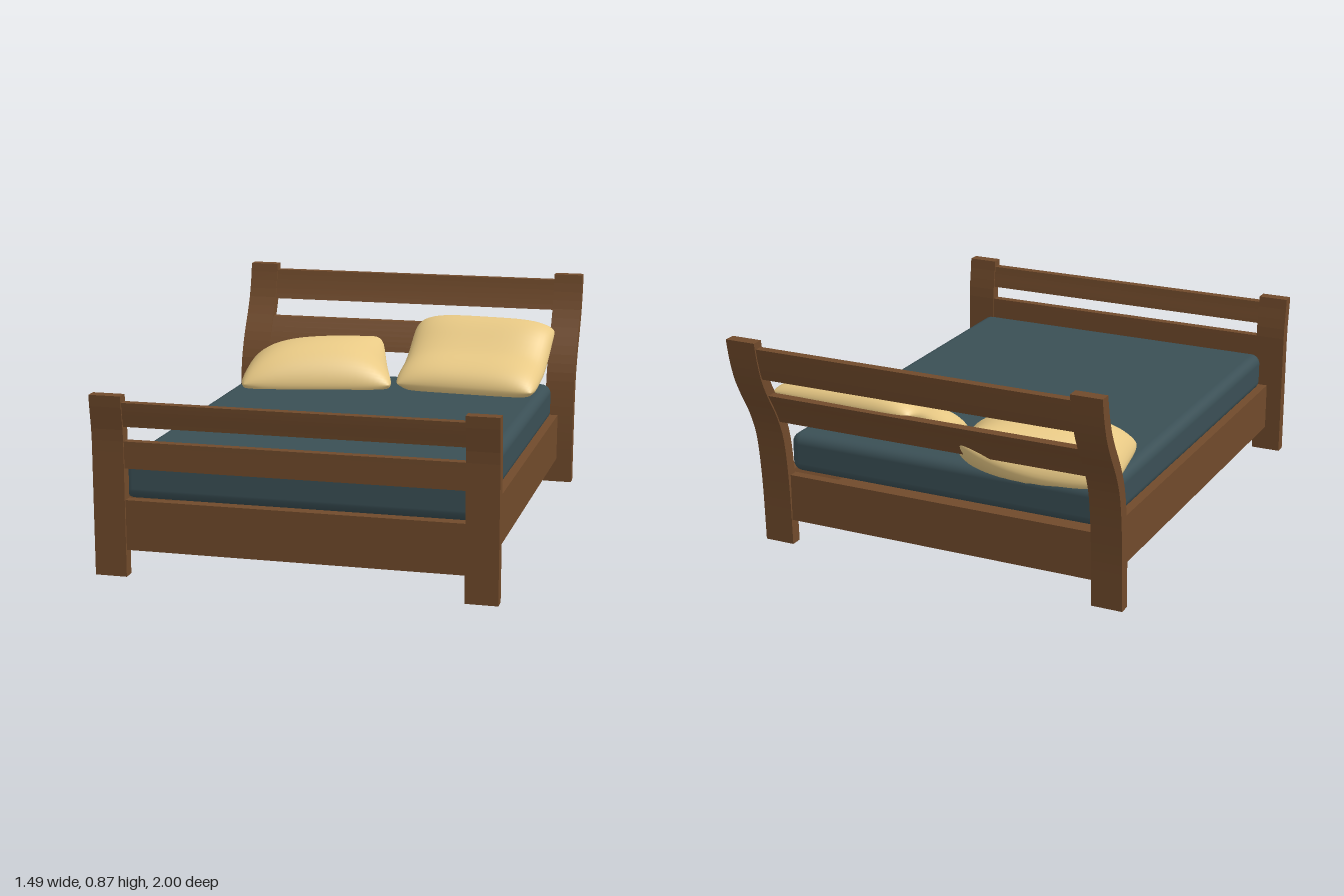
import * as THREE from 'three';
import { mergeGeometries, mergeVertices } from 'three/addons/utils/BufferGeometryUtils.js';
import { RoundedBoxGeometry } from 'three/addons/geometries/RoundedBoxGeometry.js';

const wood = new THREE.MeshStandardMaterial({ color: 0x704a2b });
const fabric = new THREE.MeshStandardMaterial({ color: 0x3a4f55 });
const linen = new THREE.MeshStandardMaterial({ color: 0xe8c985 });

// Centre lines of the posts, as (y, z) pairs going up
const headLine = [[0, -0.777], [0.2, -0.784], [0.35, -0.796], [0.45, -0.812], [0.52, -0.836],
  [0.58, -0.865], [0.65, -0.906], [0.72, -0.94], [0.8, -0.964], [0.87, -0.977]];
const footLine = [[0, 0.957], [0.3, 0.957], [0.5, 0.957], [0.56, 0.961], [0.62, 0.97], [0.675, 0.976]];

// Smooth lookup through (a, b) pairs: b for a given a
function follow(pairs) {
  const pts = new THREE.SplineCurve(pairs.map(p => new THREE.Vector2(...p))).getPoints(80);
  return a => {
    let i = 1;
    while (i < pts.length - 1 && pts[i].x < a) i++;
    const p = pts[i - 1], q = pts[i];
    return p.y + (q.y - p.y) * (a - p.x) / (q.x - p.x);
  };
}

// Board following a centre line from y0 to y1, spanning a width in x
function board(line, y0, y1, thickness, width, steps) {
  const z = follow(line), front = [], back = [];
  for (let i = 0; i <= steps; i++) {
    const y = y0 + (y1 - y0) * i / steps;
    const a = Math.max(y - 0.01, line[0][0]), b = Math.min(y + 0.01, line[line.length - 1][0]);
    const half = thickness / 2 * Math.hypot(1, (z(b) - z(a)) / (b - a));
    front.push(new THREE.Vector2(z(y) + half, y));
    back.unshift(new THREE.Vector2(z(y) - half, y));
  }
  const g = new THREE.ExtrudeGeometry(new THREE.Shape([...front, ...back]), { depth: width, bevelEnabled: false });
  return g.rotateY(-Math.PI / 2).translate(width / 2, 0, 0);
}

// Closed cushion: corners are [x, z] for back-left, back-right, front-left, front-right on the plan;
// place(u, v, x, z, puff) returns the final point
function cushion(corners, place) {
  const [bl, br, fl, fr] = corners, n = 28;
  const sides = [1, -1].map(side => {
    const g = new THREE.PlaneGeometry(2, 2, n, n);
    const pos = g.attributes.position;
    for (let i = 0; i < pos.count; i++) {
      const p = Math.sin(pos.getX(i) * Math.PI / 2), q = Math.sin(pos.getY(i) * Math.PI / 2);
      const u = p * (1 - 0.05 * q ** 8), v = q * (1 - 0.05 * p ** 8);
      const mix = k => ((1 + v) * ((1 - u) * bl[k] + (1 + u) * br[k]) + (1 - v) * ((1 - u) * fl[k] + (1 + u) * fr[k])) / 4;
      const puff = side * Math.pow(Math.max(0, (1 - p ** 4) * (1 - q ** 4)), 0.55);
      pos.setXYZ(i, ...place(u, v, mix(0), mix(1), puff));
    }
    if (side < 0) {
      const idx = g.index.array;
      for (let i = 0; i < idx.length; i += 3) [idx[i], idx[i + 1]] = [idx[i + 1], idx[i]];
    }
    g.deleteAttribute('normal');
    g.deleteAttribute('uv');
    return g;
  });
  const g = mergeVertices(mergeGeometries(sides), 1e-5);
  g.computeVertexNormals();
  return g;
}

export function createModel() {
  const group = new THREE.Group();
  const add = (name, geometry, material, x = 0, y = 0, z = 0) => {
    const mesh = new THREE.Mesh(geometry, material);
    mesh.name = name;
    mesh.position.set(x, y, z);
    group.add(mesh);
  };
  const box = (name, w, y0, y1, z0, z1, x = 0) =>
    add(name, new THREE.BoxGeometry(w, y1 - y0, z1 - z0), wood, x, (y0 + y1) / 2, (z0 + z1) / 2);

  // Posts and side rails, mirrored
  for (const s of [-1, 1]) {
    const side = s > 0 ? 'left' : 'right';
    add(side + 'HeadPost', board(headLine, 0, 0.87, 0.046, 0.12, 24), wood, s * 0.685);
    add(side + 'FootPost', board(footLine, 0, 0.675, 0.046, 0.12, 16), wood, s * 0.685);
    box(side + 'SideRail', 0.04, 0.1, 0.29, -0.77, 0.945, s * 0.66);
  }

  // End rails and bottom panel
  box('headRail', 1.27, 0.1, 0.285, -0.797, -0.76);
  box('footRail', 1.27, 0.1, 0.287, 0.937, 0.972);
  box('bottomPanel', 1.3, 0.1, 0.125, -0.77, 0.945);

  // Slats
  for (const [name, line, y0, y1] of [
    ['upperHeadSlat', headLine, 0.72, 0.845], ['lowerHeadSlat', headLine, 0.52, 0.645],
    ['upperFootSlat', footLine, 0.56, 0.65], ['lowerFootSlat', footLine, 0.405, 0.505],
  ]) add(name, board(line, y0, y1, 0.034, 1.26, 6), wood);

  // Mattress
  add('mattress', new RoundedBoxGeometry(1.31, 0.155, 1.68, 5, 0.04), fabric, 0, 0.3555, 0.09);

  // Pillow lying flat, with one back corner lifted
  add('flatPillow', cushion([[-0.68, -0.74], [-0.12, -0.89], [-0.6, -0.3], [0.03, -0.44]], (u, v, x, z, puff) => {
    const mid = 0.45 + 0.06 * (1 - u * u) * (1 - v * v) + 0.14 * ((1 + u) * (1 + v) / 4) ** 3;
    return [x, Math.max(0.428, mid + 0.097 * puff), z];
  }), linen);

  // Pillow propped against the headboard
  const rise = follow([[0.38, 0.45], [0.44, 0.457], [0.52, 0.477], [0.62, 0.505], [0.7, 0.55], [0.79, 0.615], [0.86, 0.64], [0.93, 0.645]]);
  add('proppedPillow', cushion([[0.05, -0.9], [0.655, -0.88], [0.03, -0.44], [0.63, -0.41]], (u, v, x, z, puff) => {
    const slope = (rise(-z + 0.02) - rise(-z - 0.02)) / 0.04, len = Math.hypot(1, slope);
    const t = 0.08 * puff;
    return [x, Math.max(0.426, rise(-z) + t / len), z + t * slope / len];
  }), linen);

  return group;
}
